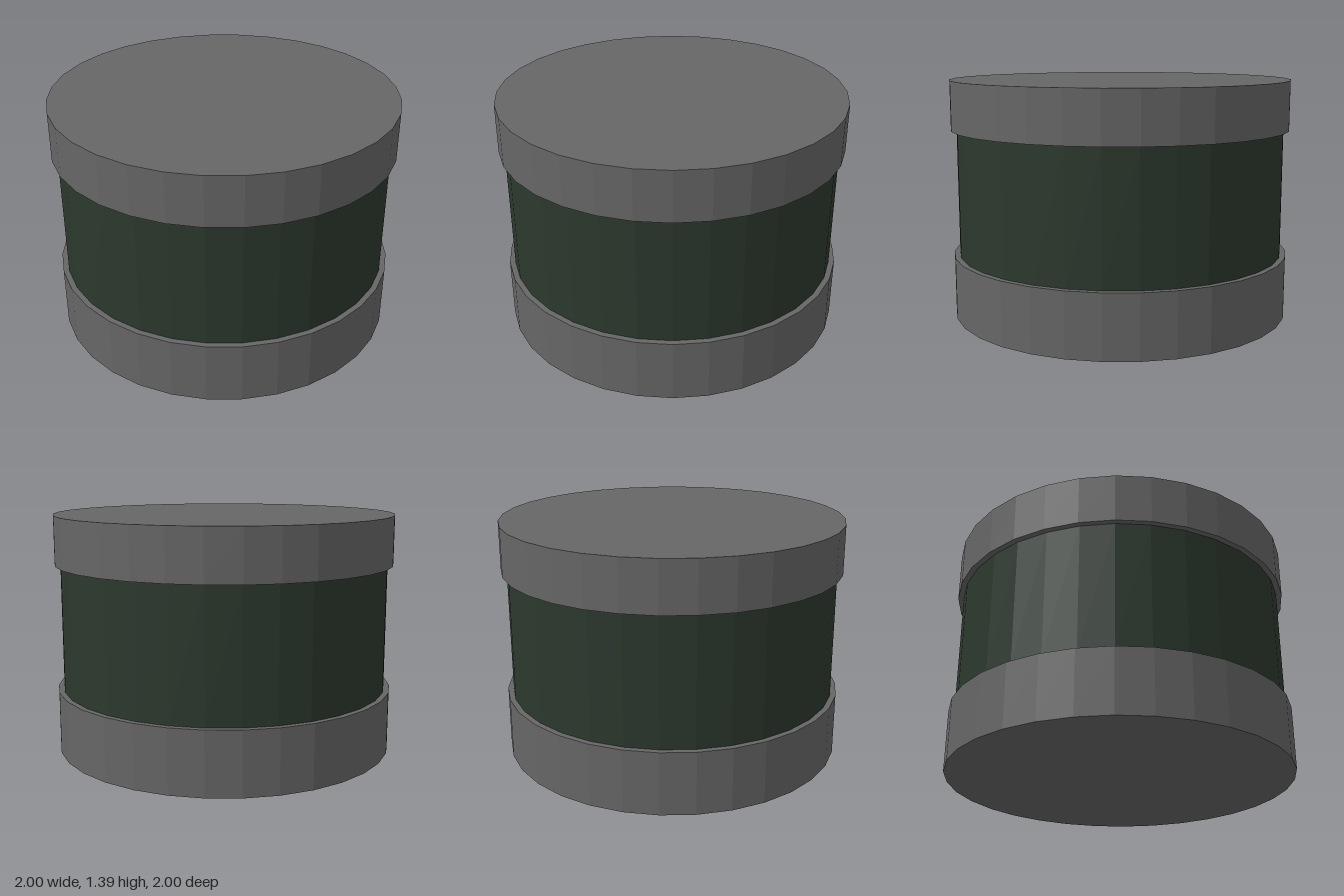
import * as THREE from 'three';

export function createModel() {
  const group = new THREE.Group();
  const grey = new THREE.MeshStandardMaterial({ color: 0x666666, flatShading: true });
  const green = new THREE.MeshStandardMaterial({ color: 0x2b382d, flatShading: true });

  // A 32-sided drum section between two heights
  function addSection(name, radius, bottom, top, material) {
    const height = top - bottom;
    const mesh = new THREE.Mesh(new THREE.CylinderGeometry(radius, radius, height, 32), material);
    mesh.position.y = bottom + height / 2;
    mesh.name = name;
    group.add(mesh);
  }

  addSection('base', 1, 0, 0.365, grey);
  addSection('body', 0.967, 0.365, 1.103, green);
  addSection('lid', 1, 1.103, 1.39, grey);

  return group;
}
